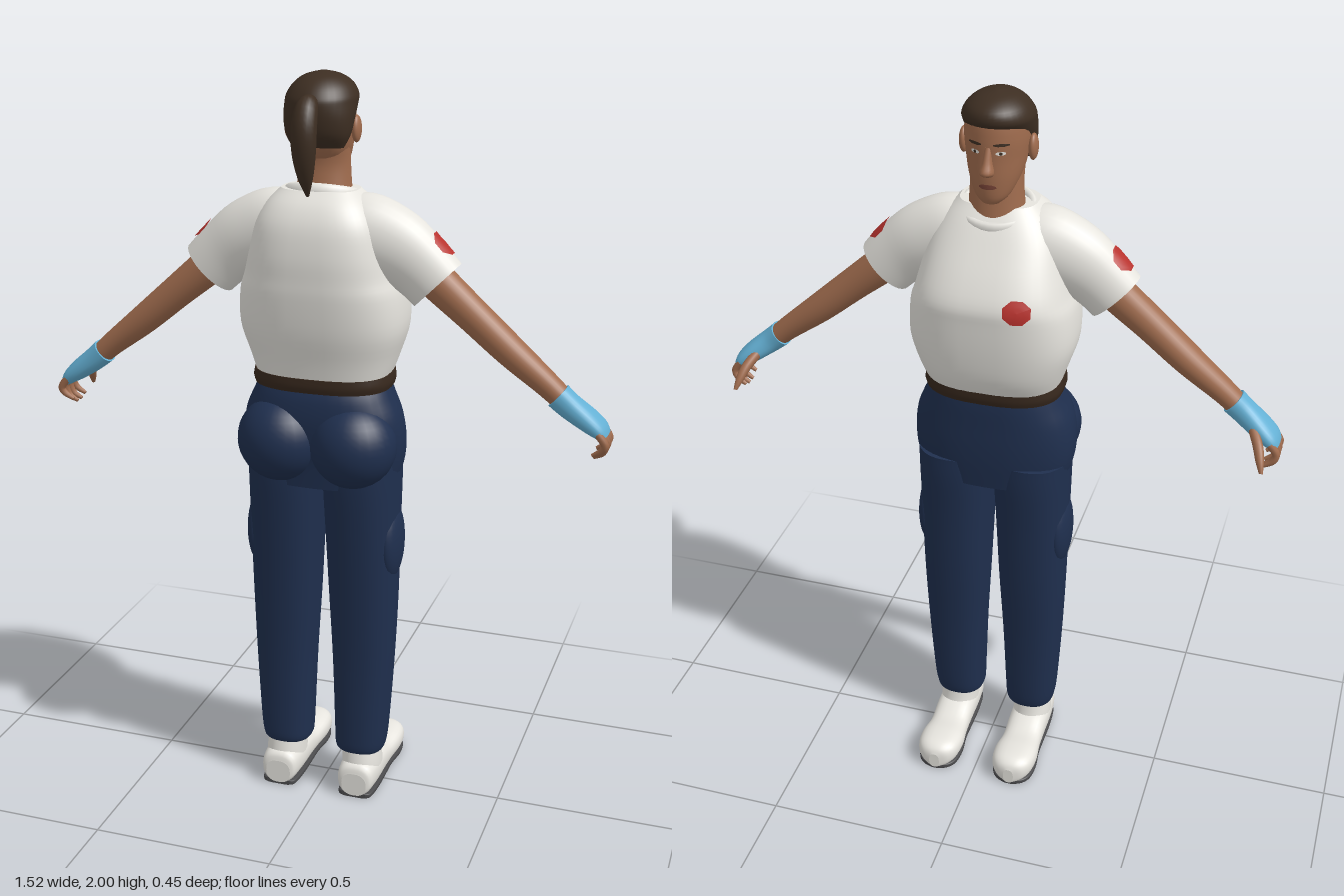
import * as THREE from 'three';

const V = (x, y, z) => new THREE.Vector3(x, y, z);
const colours = {
  shirtWhite: 0xe6e4de, trouserNavy: 0x1f2f4e, skinBrown: 0xa06c4e, hairBrown: 0x3d2e22,
  beltBrown: 0x37281d, gloveBlue: 0x64b0d4, badgeRed: 0xb8322d, soleGrey: 0x4a4a4c, lipBrown: 0x7a4538,
};
const M = {};
for (const [name, color] of Object.entries(colours)) {
  M[name] = new THREE.MeshStandardMaterial({ color });
  M[name].name = name;
}

// Smoothly resample rows of numbers (Catmull-Rom per column)
function resample(rows, steps) {
  const at = i => rows[Math.max(0, Math.min(rows.length - 1, i))];
  const out = [];
  for (let i = 0; i < rows.length - 1; i++) {
    for (let s = 0; s < steps; s++) {
      const t = s / steps;
      out.push(rows[i].map((_, k) => {
        const a = at(i - 1)[k], b = at(i)[k], c = at(i + 1)[k], d = at(i + 2)[k];
        return b + 0.5 * t * (c - a + t * (2 * a - 5 * b + 4 * c - d + t * (3 * (b - c) + d - a)));
      }));
    }
  }
  out.push(rows[rows.length - 1]);
  return out;
}

// Skin superellipse sections along rows [x, y, z, radiusU, radiusV]
function sweep(rows, { u = V(0, 0, 1), v = null, n = 2, seg = 28, steps = 4 } = {}) {
  const r = resample(rows, steps), pos = [], idx = [];
  const centre = i => V(r[i][0], r[i][1], r[i][2]);
  const sp = c => Math.sign(c) * Math.abs(c) ** (2 / n);
  r.forEach((row, i) => {
    const t = centre(Math.min(i + 1, r.length - 1)).sub(centre(Math.max(i - 1, 0))).normalize();
    const w = v || t.cross(u).normalize();
    for (let j = 0; j < seg; j++) {
      const a = j / seg * Math.PI * 2;
      const p = centre(i).addScaledVector(u, row[3] * sp(Math.cos(a))).addScaledVector(w, row[4] * sp(Math.sin(a)));
      pos.push(p.x, p.y, p.z);
    }
  });
  for (let i = 0; i < r.length - 1; i++) {
    for (let j = 0; j < seg; j++) {
      const a = i * seg + j, b = i * seg + (j + 1) % seg;
      idx.push(a, b, a + seg, b, b + seg, a + seg);
    }
  }
  // End caps with their own vertices
  for (const i of [0, r.length - 1]) {
    const base = pos.length / 3, c = centre(i);
    pos.push(...pos.slice(i * seg * 3, (i + 1) * seg * 3), c.x, c.y, c.z);
    for (let j = 0; j < seg; j++) {
      const a = base + j, b = base + (j + 1) % seg;
      if (i) idx.push(a, b, base + seg); else idx.push(b, a, base + seg);
    }
  }
  // Turn the faces outward
  const P = k => V(pos[3 * k], pos[3 * k + 1], pos[3 * k + 2]).sub(centre(0));
  let volume = 0;
  for (let k = 0; k < idx.length; k += 3) volume += P(idx[k]).dot(P(idx[k + 1]).cross(P(idx[k + 2])));
  if (volume < 0) idx.reverse();
  const g = new THREE.BufferGeometry();
  g.setAttribute('position', new THREE.Float32BufferAttribute(pos, 3));
  g.setIndex(idx);
  g.computeVertexNormals();
  return g;
}

// Stack of level sections: rows [y, centreX, halfWidth, zBack, zFront]
const stack = (rows, n = 2, seg = 36) => sweep(
  rows.map(([y, x, w, b, f]) => [x, y, (b + f) / 2, w, (b - f) / 2]), { u: V(1, 0, 0), v: V(0, 0, 1), n, seg });

// Thin patch draped on a mesh, seen from direction dir
function drape(target, at, dir, w, h, sides = 8) {
  const d = dir.clone().normalize(), ray = new THREE.Raycaster();
  const o = new THREE.Object3D();
  o.position.copy(at);
  o.lookAt(at.clone().add(d));
  o.updateMatrixWorld(true);
  target.updateMatrixWorld(true);
  const g = new THREE.RingGeometry(0, 1, sides, 5, Math.PI / sides);
  g.scale(w, h, 1).applyMatrix4(o.matrixWorld);
  const p = g.attributes.position;
  for (let i = 0; i < p.count; i++) {
    const q = V(0, 0, 0).fromBufferAttribute(p, i);
    ray.set(q.clone().addScaledVector(d, 0.15), d.clone().negate());
    const hit = ray.intersectObject(target)[0];
    if (hit) q.copy(hit.point);
    q.addScaledVector(d, 0.004);
    p.setXYZ(i, q.x, q.y, q.z);
  }
  g.computeVertexNormals();
  return g;
}

const ball = (x, y, z, a, b, c) => new THREE.SphereGeometry(1, 28, 20).scale(a, b, c).translate(x, y, z);

export function createModel() {
  const model = new THREE.Group();
  const add = (name, geometry, material) => {
    const m = new THREE.Mesh(geometry, material);
    m.name = name;
    model.add(m);
    return m;
  };

  // Shirt, belt and trouser seat
  const torso = add('shirtBody', stack([
    [1.222, 0, .175, .16, -.093], [1.28, 0, .195, .172, -.12], [1.36, 0, .218, .192, -.135],
    [1.45, 0, .215, .204, -.143], [1.5, 0, .2, .206, -.143], [1.56, 0, .185, .206, -.115],
    [1.63, 0, .165, .195, -.07], [1.68, 0, .135, .17, -.035], [1.715, 0, .1, .135, -.005]], 2.7, 48), M.shirtWhite);
  add('belt', stack([[1.198, 0, .183, .163, -.094], [1.215, 0, .187, .167, -.099], [1.236, 0, .184, .166, -.1]], 2.6), M.beltBrown);
  add('trouserHips', stack([
    [.93, 0, .2, .145, -.08], [1, 0, .217, .15, -.087], [1.06, 0, .22, .16, -.09],
    [1.12, 0, .211, .165, -.09], [1.17, 0, .19, .16, -.09], [1.2, 0, .177, .15, -.088]], 2.4), M.trouserNavy);

  // Collar ring with a strip of bare chest below it
  const collar = new THREE.TorusGeometry(.085, .013, 10, 36).rotateX(Math.PI / 2).scale(1.06, 1.5, .95)
    .rotateX(-.3).translate(0, 1.692, .045);
  add('collar', collar, M.shirtWhite);
  const strip = new THREE.TorusGeometry(.085, .012, 8, 20, 1.7).rotateZ(-Math.PI / 2 - .85)
    .rotateX(Math.PI / 2).scale(1, 1, -1);
  strip.scale(1, 1, -1).rotateX(-.35).translate(0, 1.662, .033);
  add('chestStrip', strip, M.skinBrown);

  // Head and neck
  add('neck', stack([[1.64, 0, .08, .11, -.03], [1.72, 0, .071, .095, -.02], [1.78, 0, .068, .088, -.012], [1.84, 0, .07, .1, 0]]), M.skinBrown);
  const head = add('head', stack([
    [1.735, 0, .022, .005, -.034], [1.755, 0, .045, .045, -.042], [1.8, 0, .066, .1, -.046], [1.85, 0, .077, .13, -.045],
    [1.9, 0, .082, .14, -.045], [1.95, 0, .075, .13, -.036], [1.985, 0, .04, .09, 0]]), M.skinBrown);
  add('nose', stack([
    [1.815, 0, .015, -.03, -.06], [1.826, 0, .018, -.03, -.075], [1.85, 0, .012, -.03, -.063], [1.885, 0, .008, -.03, -.047]], 2, 14), M.skinBrown);
  add('hair', stack([
    [1.82, 0, .068, .118, .065], [1.85, 0, .083, .143, .035], [1.89, 0, .09, .154, .005], [1.925, 0, .091, .157, -.035],
    [1.945, 0, .089, .152, -.05], [1.97, 0, .074, .133, -.043], [1.99, 0, .046, .102, -.01], [2, 0, .008, .055, .035]]), M.hairBrown);
  add('ponytail', sweep([
    [0, 1.935, .14, .018, .018], [0, 1.925, .172, .028, .028], [0, 1.88, .194, .032, .03], [0, 1.82, .196, .03, .026],
    [0, 1.76, .185, .02, .018], [0, 1.71, .168, .004, .004]], { u: V(1, 0, 0), seg: 18 }), M.hairBrown);
  const ahead = V(0, 0, -1);
  add('mouth', drape(head, V(0, 1.785, -.04), ahead, .023, .007, 10), M.lipBrown);

  // Badge on the chest
  add('chestBadge', drape(torso, V(-.1, 1.5, -.135), V(-.2, .25, -1), .038, .033), M.badgeRed);

  for (const s of [1, -1]) {
    const side = s > 0 ? 'left' : 'right';
    const part = (name, geometry, material) => add(side + name, geometry, material);
    const limb = (rows, opt) => sweep(rows.map(([x, ...rest]) => [s * x, ...rest]), opt);
    const column = (rows, n) => stack(rows.map(([y, x, ...rest]) => [y, s * x, ...rest]), n, 28);

    // Face details
    part('Ear', ball(s * .088, 1.862, .05, .012, .034, .022), M.skinBrown);
    part('EyeWhite', drape(head, V(s * .032, 1.872, -.04), ahead, .012, .005, 10), M.shirtWhite);
    part('Pupil', drape(head, V(s * .032, 1.872, -.042), V(0, 0, -1), .004, .0045).translate(0, 0, -.001), M.hairBrown);
    part('Eyebrow', drape(head, V(s * .033, 1.893, -.04), ahead, .02, .004), M.hairBrown);

    // Sleeve with badge, then the arm
    const sleeve = part('Sleeve', limb([
      [.09, 1.605, .062, .088, .1], [.13, 1.6, .061, .085, .105], [.2, 1.572, .06, .078, .098],
      [.26, 1.53, .06, .068, .086], [.307, 1.485, .06, .064, .081]]), M.shirtWhite);
    part('SleeveBadge', drape(sleeve, V(s * .318, 1.59, .058), V(s * .72, .7, 0), .036, .038), M.badgeRed);
    part('Arm', limb([
      [.24, 1.55, .06, .046, .05], [.31, 1.49, .06, .045, .049], [.4, 1.415, .062, .044, .044],
      [.5, 1.33, .062, .043, .04], [.6, 1.25, .063, .035, .032], [.65, 1.205, .063, .032, .029]]), M.skinBrown);

    // Gloved hand with bare fingers
    part('Glove', limb([
      [.625, 1.228, .064, .037, .034], [.655, 1.203, .063, .037, .032], [.7, 1.17, .055, .045, .028],
      [.73, 1.147, .051, .046, .022], [.745, 1.13, .05, .04, .014]], { n: 2.3 }), M.gloveBlue);
    [.086, .062, .038, .015].forEach((z, i) => {
      const drop = [.012, 0, 0, .008][i];
      part('Finger' + (i + 1), limb([
        [.732, 1.145, z, .011, .011], [.751, 1.118, z, .01, .01], [.744, 1.088 + drop, z - .003, .009, .009],
        [.72, 1.072 + drop, z - .006, .005, .005]], { seg: 10 }), M.skinBrown);
    });
    part('Thumb', limb([
      [.685, 1.175, .03, .015, .015], [.705, 1.148, -.008, .014, .014], [.716, 1.12, -.034, .011, .011],
      [.724, 1.095, -.052, .005, .005]], { u: V(1, 0, 0), seg: 12 }), M.skinBrown);

    // Trouser leg, seat and side pocket
    part('TrouserLeg', column([
      [.125, .108, .064, .1, -.024], [.14, .108, .07, .11, -.033], [.2, .11, .075, .112, -.04], [.4, .112, .085, .113, -.05],
      [.6, .11, .094, .122, -.065], [.8, .107, .1, .136, -.076], [.93, .105, .104, .145, -.085], [1, .105, .105, .145, -.085]], 2.3), M.trouserNavy);
    part('Seat', ball(s * .1, 1.05, .105, .116, .116, .109), M.trouserNavy);
    part('Pocket', ball(s * .187, .76, .03, .032, .11, .07), M.trouserNavy);

    // Shoe: ankle, foot and sole
    part('ShoeAnkle', column([[.04, .113, .055, .118, -.05], [.09, .113, .054, .112, -.03], [.15, .11, .05, .1, -.02]], 2.2), M.shirtWhite);
    const outline = [[.125, .036, .07], [.112, .05, .095], [.05, .056, .1], [-.02, .056, .092], [-.08, .056, .072],
      [-.14, .063, .078], [-.19, .058, .078], [-.216, .04, .066], [-.226, .015, .05]];
    const flat = { u: V(1, 0, 0), v: V(0, 1, 0), n: 2.5 };
    part('Shoe', limb(outline.map(([z, w, h]) => [.113, h / 2 + .005, z, w, h / 2 - .001]), flat), M.shirtWhite);
    part('Sole', limb(outline.map(([z, w]) => [.113, .008, z * .99, w * .97, .008]), { ...flat, n: 5 }), M.soleGrey);
  }
  return model;
}
